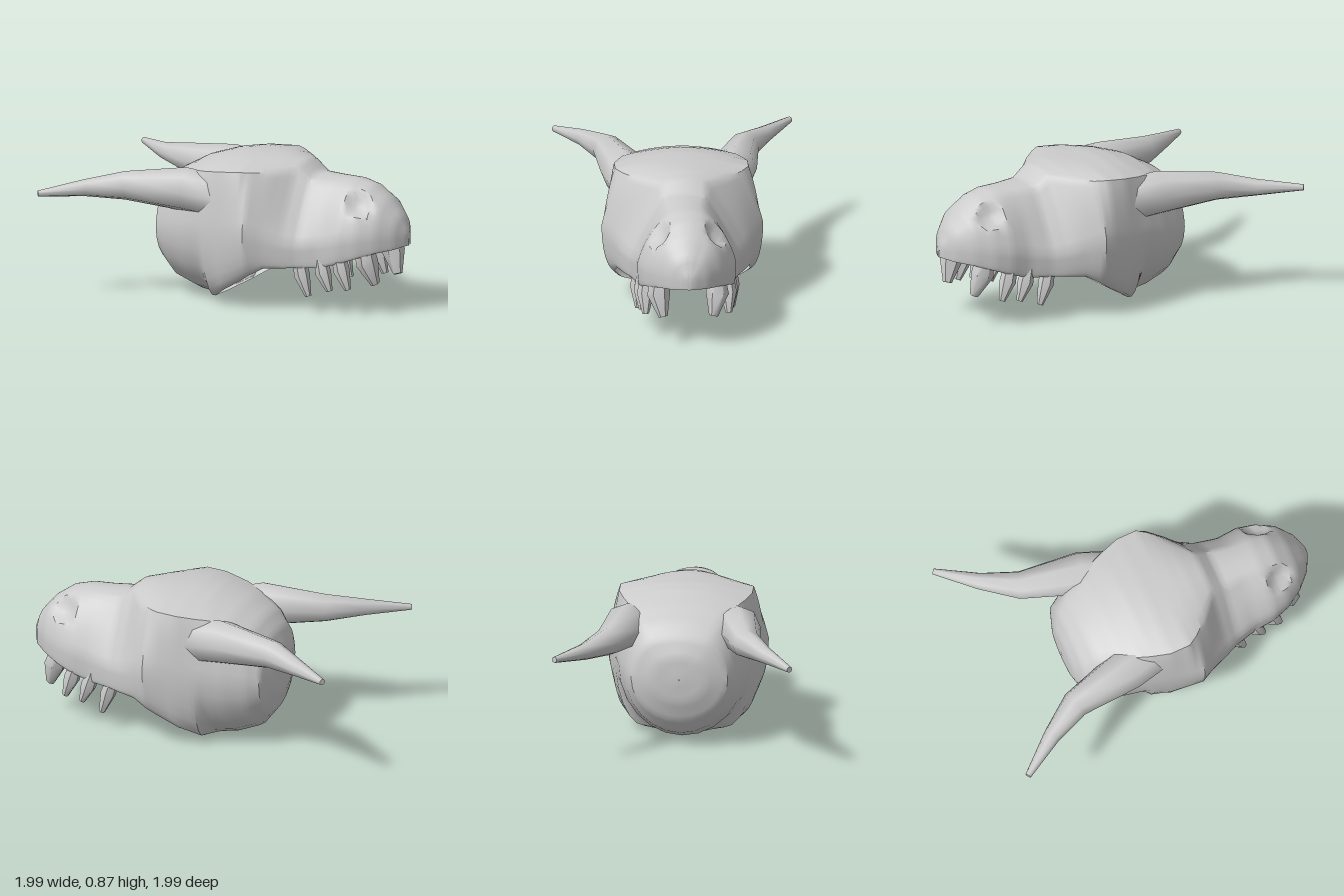
import * as THREE from 'three';
import { mergeVertices, toCreasedNormals } from 'three/addons/utils/BufferGeometryUtils.js';

const material = new THREE.MeshStandardMaterial({ color: 0xcccccc, side: THREE.DoubleSide });
const { lerp } = THREE.MathUtils;

// Skin a list of equal-length rings (counter-clockwise about the direction of travel);
// closed rings also get end caps, open ones leave a slot between their last and first point
function loft(rings, crease, closed) {
  const pos = [];
  const tri = (...points) => points.forEach((p) => pos.push(p.x, p.y, p.z));
  const n = rings[0].length;
  const centre = (ring) => ring.reduce((s, p) => s.add(p), new THREE.Vector3()).divideScalar(n);
  const first = rings[0], last = rings[rings.length - 1];
  const c0 = centre(first), c1 = centre(last);
  for (let i = 0; i < (closed ? n : n - 1); i++) {
    const j = (i + 1) % n;
    for (let k = 0; k < rings.length - 1; k++) {
      const a = rings[k], b = rings[k + 1];
      tri(a[i], a[j], b[j]);
      tri(a[i], b[j], b[i]);
    }
    if (closed) {
      tri(c0, first[j], first[i]);
      tri(c1, last[i], last[j]);
    }
  }
  const geometry = new THREE.BufferGeometry();
  geometry.setAttribute('position', new THREE.Float32BufferAttribute(pos, 3));
  return toCreasedNormals(mergeVertices(geometry), crease);
}

// Tapered solid through points, with one radius per point
function taper(points, radii, sides, ref) {
  const path = points.map((p) => new THREE.Vector3(...p));
  const rings = path.map((p, k) => {
    const t = path[Math.min(k + 1, path.length - 1)].clone().sub(path[Math.max(k - 1, 0)]).normalize();
    const u = ref.clone().cross(t).normalize();
    const v = t.clone().cross(u);
    return Array.from({ length: sides }, (_, i) => {
      const a = (i / sides) * Math.PI * 2;
      return p.clone().addScaledVector(u, radii[k] * Math.cos(a)).addScaledVector(v, radii[k] * Math.sin(a));
    });
  });
  return loft(rings, 1.0, true);
}

// Rear and brow stations, back to front: z, rim half width, rim height, half width, height of widest point,
// roof edge half width, roof edge height, crown height, side bulge
const CRANIUM = [
  [-0.22, 0, 0.41, 0.0005, 0.415, 0.0003, 0.42, 0.42, 1],
  [-0.21, 0, 0.28, 0.16, 0.41, 0.08, 0.53, 0.55, 0.9],
  [-0.17, 0, 0.16, 0.28, 0.41, 0.15, 0.63, 0.65, 0.8],
  [-0.1, 0, 0.07, 0.32, 0.42, 0.21, 0.7, 0.73, 0.75],
  [0.03, 0, 0.02, 0.365, 0.43, 0.28, 0.76, 0.8, 0.6],
  [0.14, 0, 0, 0.39, 0.45, 0.33, 0.785, 0.835, 0.5],
  [0.19, 0.23, 0.03, 0.4, 0.45, 0.35, 0.79, 0.85, 0.45],
  [0.3, 0.34, 0.1, 0.425, 0.46, 0.385, 0.805, 0.865, 0.4],
  [0.42, 0.37, 0.17, 0.455, 0.48, 0.385, 0.815, 0.865, 0.35],
  [0.48, 0.39, 0.21, 0.467, 0.49, 0.345, 0.81, 0.865, 0.3],
  [0.57, 0.38, 0.26, 0.41, 0.45, 0.26, 0.805, 0.86, 0.3],
  [0.67, 0.345, 0.265, 0.36, 0.41, 0.13, 0.815, 0.84, 0.15],
];
// Muzzle stations in the same order of values
const MUZZLE = [
  [0.75, 0.31, 0.27, 0.32, 0.4, 0.12, 0.755, 0.775, 0.1],
  [0.88, 0.275, 0.275, 0.285, 0.42, 0.1, 0.75, 0.77, 0.35],
  [1.0, 0.27, 0.31, 0.285, 0.45, 0.1, 0.745, 0.765, 0.5],
  [1.1, 0.245, 0.345, 0.255, 0.46, 0.1, 0.715, 0.74, 0.6],
  [1.2, 0.185, 0.375, 0.195, 0.47, 0.09, 0.645, 0.67, 0.75],
  [1.28, 0.105, 0.39, 0.11, 0.46, 0.05, 0.56, 0.575, 0.85],
  [1.32, 0.025, 0.4, 0.03, 0.44, 0.015, 0.475, 0.48, 0.9],
  [1.326, 0.0003, 0.4, 0.0005, 0.42, 0.0003, 0.44, 0.44, 1],
];

// Nostril hollow on both sides
const NOSTRIL = { x: 0.165, y: 0.65, z: 1.08, radius: 0.085, depth: 0.055 };

// Half section from the rim up to the crown, then mirrored down the other side
function skullRing([z, rimWidth, rim, w, mid, roofWidth, roof, crown, bulge]) {
  const half = [];
  for (let i = 0; i < 6; i++) {
    const a = (i / 6) * Math.PI / 2;
    half.push([lerp(rimWidth, w, Math.sin(a)), lerp(mid, rim, Math.cos(a))]);
  }
  for (let i = 0; i < 8; i++) {
    const t = i / 8, a = t * Math.PI / 2;
    half.push([lerp(w, roofWidth, lerp(t, 1 - Math.cos(a), bulge)), lerp(mid, roof, lerp(t, Math.sin(a), bulge))]);
  }
  for (let i = 0; i <= 5; i++) {
    const t = 1 - i / 5;
    half.push([roofWidth * t, lerp(crown, roof, t * t)]);
  }
  for (const p of half) {
    const d = Math.hypot(p[0] - NOSTRIL.x, p[1] - NOSTRIL.y, z - NOSTRIL.z) / NOSTRIL.radius;
    if (d < 1) {
      const push = NOSTRIL.depth * (1 - d * d);
      p[0] -= push * 0.7;
      p[1] -= push * 0.5;
    }
  }
  const mirrored = half.slice(0, -1).reverse().map(([x, y]) => [-x, y]);
  return [...half, ...mirrored].map(([x, y]) => new THREE.Vector3(x, y, z));
}

function skullGeometry() {
  const stations = [...CRANIUM, ...MUZZLE];
  const rings = [];
  const steps = 4;
  for (let k = 0; k < stations.length - 1; k++) {
    for (let s = 0; s < steps; s++) {
      rings.push(skullRing(stations[k].map((v, i) => lerp(v, stations[k + 1][i], s / steps))));
    }
  }
  rings.push(skullRing(stations[stations.length - 1]));
  return loft(rings, 0.7, false);
}

// Teeth of one side: x, z, root height, tip height, radius, inward lean
const TEETH = [
  [0.27, 0.76, 0.3, 0.1, 0.046, 0],
  [0.255, 0.89, 0.31, 0.14, 0.046, 0],
  [0.24, 1.0, 0.34, 0.155, 0.048, 0],
  [0.17, 1.13, 0.39, 0.185, 0.066, 0.025],
];

export function createModel() {
  const model = new THREE.Group();
  model.name = 'hornedSkull';
  const head = new THREE.Group();
  head.name = 'head';
  head.rotation.y = Math.PI / 4; // the muzzle points along the diagonal
  model.add(head);

  const add = (name, geometry) => {
    const mesh = new THREE.Mesh(geometry, material);
    mesh.name = name;
    head.add(mesh);
  };

  add('skull', skullGeometry());

  const up = new THREE.Vector3(0, 1, 0);
  const forward = new THREE.Vector3(0, 0, 1);
  for (const side of [-1, 1]) {
    const label = side > 0 ? 'left' : 'right';

    // Horn sweeping back and outward, its root sunk into the skull
    const tipY = side > 0 ? 0.66 : 0.63;
    add(label + 'Horn', taper([
      [side * 0.27, 0.63, 0.22],
      [side * 0.325, 0.665, 0.04],
      [side * 0.4, 0.665, -0.31],
      [side * 0.52, 0.655, -0.51],
      [side * 0.68, tipY, -0.73],
    ], [0.13, 0.13, 0.084, 0.05, 0.018], 8, up));

    // Teeth along the lip, leaning slightly forward
    for (const [x, z, root, tip, r, lean] of TEETH) {
      add(label + 'Tooth', taper([
        [side * (x - 0.01), root + 0.03, z - 0.02],
        [side * x, lerp(root, tip, 0.4), z + 0.01],
        [side * (x - lean), tip, z + 0.05],
      ], [r * 0.8, r, r * 0.4], 6, forward));
    }
  }
  return model;
}
